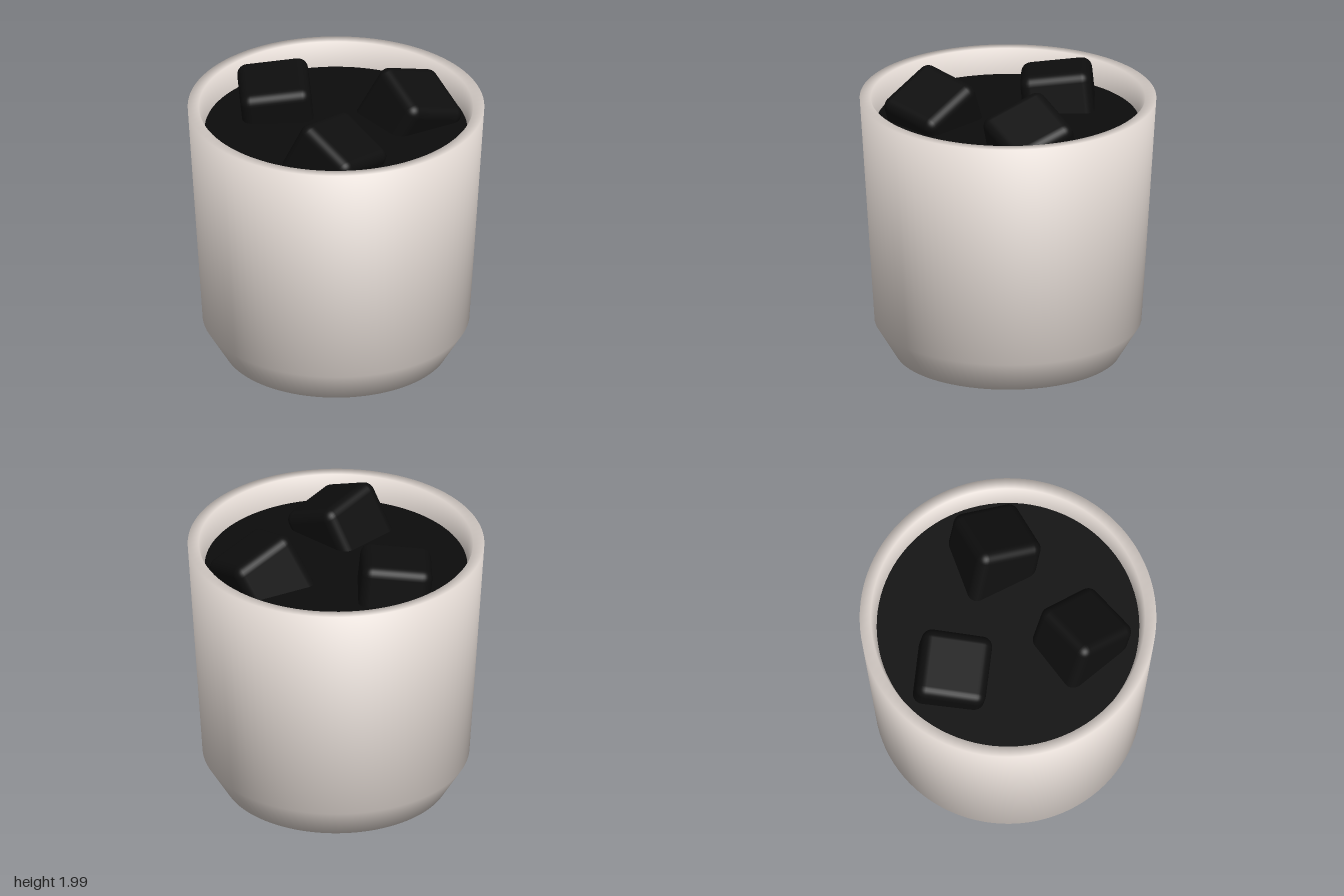
import * as THREE from 'three';
import { RoundedBoxGeometry } from 'three/addons/geometries/RoundedBoxGeometry.js';

// Lathe whose normals blend evenly between neighbouring profile segments
function softLathe(profile, segments) {
  const points = profile.map(([r, y]) => new THREE.Vector2(r, y));
  const geometry = new THREE.LatheGeometry(points, segments);
  const edges = points.slice(1).map((p, i) => {
    const d = p.clone().sub(points[i]).normalize();
    return new THREE.Vector2(d.y, -d.x);
  });
  const normals = points.map((p, i) => {
    const before = edges[Math.max(i - 1, 0)];
    const after = edges[Math.min(i, edges.length - 1)];
    return before.clone().add(after).normalize();
  });
  const attribute = geometry.attributes.normal;
  for (let s = 0; s <= segments; s++) {
    const a = (s / segments) * Math.PI * 2;
    normals.forEach((n, j) =>
      attribute.setXYZ(s * points.length + j, n.x * Math.sin(a), n.y, n.x * Math.cos(a)));
  }
  return geometry;
}

export function createModel() {
  const model = new THREE.Group();
  const glassMaterial = new THREE.MeshStandardMaterial({ name: 'paleGlass', color: 0xe0d7d1 });
  const drinkMaterial = new THREE.MeshStandardMaterial({ name: 'darkDrink', color: 0x0c0c0c });
  const iceMaterial = new THREE.MeshStandardMaterial({ name: 'darkIce', color: 0x0e0e0e });

  const add = (name, geometry, material) => {
    const mesh = new THREE.Mesh(geometry, material);
    mesh.name = name;
    model.add(mesh);
    return mesh;
  };

  // Tumbler: base, chamfer, outer wall, flat rim, inner wall and floor
  add('tumbler', softLathe([
    [0, 0], [0.76, 0], [0.9, 0.23], [1, 1.82],
    [0.925, 1.82], [0.886, 1.65], [0.8, 0.25], [0, 0.2],
  ], 96), glassMaterial);

  // Drink filling the tumbler
  const drink = add('drink', new THREE.CylinderGeometry(0.885, 0.795, 1.39, 96), drinkMaterial);
  drink.position.y = 0.955;

  // Ice cubes floating at different tilts: position, then pitch, yaw, roll in degrees
  const iceGeometry = new RoundedBoxGeometry(0.48, 0.48, 0.48, 4, 0.07);
  const cubes = [
    ['leftIceCube', [-0.455, 1.65, -0.23], [6, 15, 6]],
    ['rightIceCube', [0.44, 1.655, -0.285], [0, 45, 0], -28],
    ['frontIceCube', [0.08, 1.65, 0.49], [-8, -28, -25]],
  ];
  for (const [name, position, angles, lean = 0] of cubes) {
    const cube = add(name, iceGeometry, iceMaterial);
    cube.position.set(...position);
    cube.rotation.set(...angles.map(THREE.MathUtils.degToRad), 'YXZ');
    // Extra sideways lean after the turn brings a corner to the top
    cube.rotateOnWorldAxis(new THREE.Vector3(0, 0, 1), THREE.MathUtils.degToRad(lean));
  }

  return model;
}
